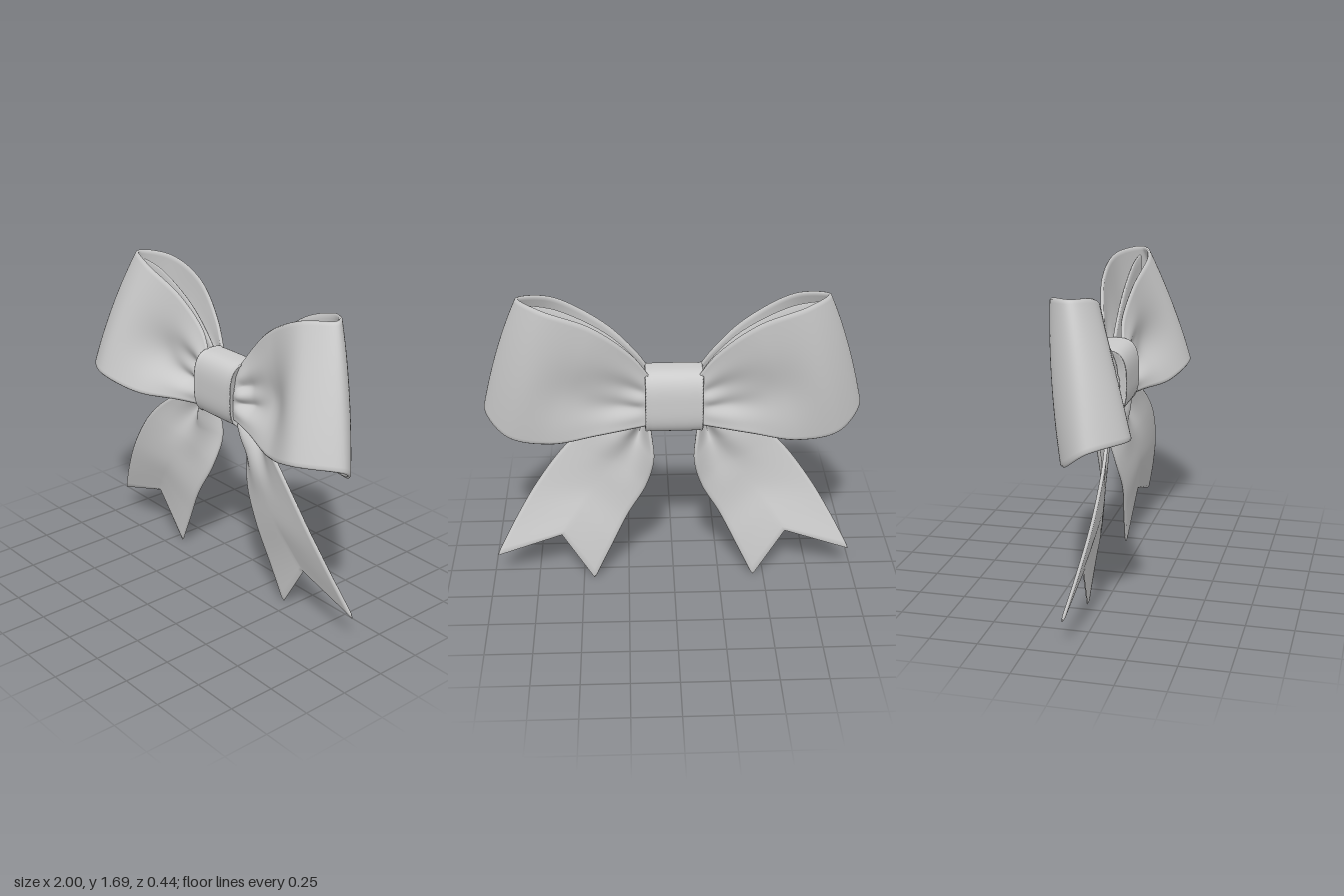
import * as THREE from 'three';
import { mergeVertices } from 'three/addons/utils/BufferGeometryUtils.js';

const material = new THREE.MeshStandardMaterial({ color: 0xcccccc, side: THREE.DoubleSide });
const smooth = THREE.MathUtils.smoothstep;
const lerp = THREE.MathUtils.lerp;
const curve = (pts) => new THREE.CatmullRomCurve3(pts.map((p) => new THREE.Vector3(...p)));
const bump = (x, centre, width) => Math.exp(-(((x - centre) / width) ** 2));

// Turns a surface fn(u, v) into a cloth sheet with thickness and rounded hems
function cloth(name, fn, nu, nv, half, side) {
  const pos = [], idx = [], ring = 2 * (nv + 1) + 2, e = 1e-3;
  for (let i = 0; i <= nu; i++) {
    const u = i / nu, front = [], back = [], hems = [];
    const h = i === 0 || i === nu ? half * 0.2 : half;
    for (let j = 0; j <= nv; j++) {
      const v = j / nv, p = fn(u, v);
      const u0 = Math.max(u - e, 0), u1 = Math.min(u + e, 1);
      const v0 = Math.max(v - e, 0), v1 = Math.min(v + e, 1);
      const du = fn(u1, v).sub(fn(u0, v)), dv = fn(u, v1).sub(fn(u, v0)).normalize();
      const n = du.normalize().cross(dv).normalize();
      front.push(p.clone().addScaledVector(n, h));
      back.unshift(p.clone().addScaledVector(n, -h));
      if (j === 0 || j === nv) hems.push(p.clone().addScaledVector(dv, j ? h : -h));
    }
    for (const p of [...front, hems[1], ...back, hems[0]]) pos.push(p.x * side, p.y, p.z);
  }
  for (let i = 0; i < nu; i++) {
    for (let j = 0; j < ring; j++) {
      const k = (j + 1) % ring;
      const a = i * ring + j, b = a + ring, c = (i + 1) * ring + k, d = i * ring + k;
      if (side > 0) idx.push(a, b, c, a, c, d);
      else idx.push(a, c, b, a, d, c);
    }
  }
  const g = new THREE.BufferGeometry();
  g.setAttribute('position', new THREE.Float32BufferAttribute(pos, 3));
  g.setIndex(idx);
  g.computeVertexNormals();
  const mesh = new THREE.Mesh(g, material);
  mesh.name = name;
  return mesh;
}

// Loop: three guide curves run from the knot's front, round the tip, to its back
const loopTop = curve([
  [0.12, 1.26, -0.03], [0.2, 1.38, -0.05], [0.36, 1.53, -0.03], [0.62, 1.66, 0.0], [0.78, 1.685, -0.07],
  [0.66, 1.665, -0.19], [0.42, 1.58, -0.21], [0.22, 1.41, -0.17], [0.12, 1.26, -0.13]]);
const loopMiddle = curve([
  [0.12, 1.13, 0.0], [0.27, 1.16, 0.02], [0.48, 1.24, 0.05], [0.73, 1.35, 0.115], [0.895, 1.38, 0.0],
  [0.78, 1.31, -0.15], [0.55, 1.24, -0.185], [0.3, 1.17, -0.15], [0.12, 1.13, -0.13]]);
const loopBottom = curve([
  [0.12, 1.0, 0.0], [0.3, 0.99, 0.05], [0.55, 0.98, 0.14], [0.8, 1.04, 0.205], [0.99, 1.03, 0.06],
  [0.88, 0.92, -0.08], [0.65, 0.9, -0.14], [0.4, 0.95, -0.15], [0.12, 1.0, -0.13]]);

function loopPoint(s, v) {
  const a = loopBottom.getPoint(s), b = loopMiddle.getPoint(s), c = loopTop.getPoint(s);
  const p = a.multiplyScalar(2 * (v - 0.5) * (v - 1))
    .addScaledVector(b, 4 * v * (1 - v))
    .addScaledVector(c, 2 * v * (v - 0.5));
  // Hollow and gathers beside the knot, weaker on the back wall
  const d = Math.min(s, 1 - s), sign = s < 0.5 ? 1 : -0.5;
  const hollow = 0.06 * bump(v, 0.45, 0.24) * smooth(d, 0, 0.12) * (1 - smooth(d, 0.21, 0.35));
  const gathers = 0.022 * Math.cos((v - 0.5) * Math.PI * 6) * bump(v, 0.5, 0.3)
    * smooth(d, 0, 0.05) * (1 - smooth(d, 0.06, 0.24));
  p.z += sign * (gathers - hollow);
  return p;
}

// Fold of cloth inside the loop
function innerPoint(u, v) {
  const p = loopTop.getPoint(u * 0.5);
  return new THREE.Vector3(p.x * 0.95, lerp(1.12 + 0.2 * u, p.y - 0.04, v), -0.09 + 0.015 * u);
}

// Tail: inner and outer edges, ending in a swallowtail notch
const tailInner = curve([
  [0.14, 1.02, -0.08], [0.12, 0.9, -0.11], [0.112, 0.78, -0.115], [0.155, 0.6, -0.08],
  [0.255, 0.41, -0.06], [0.35, 0.21, -0.075], [0.445, 0.005, -0.09]]);
const tailOuter = curve([
  [0.14, 1.1, -0.03], [0.3, 1.0, -0.01], [0.42, 0.93, 0.015], [0.57, 0.79, 0.03],
  [0.73, 0.575, 0.015], [0.86, 0.36, -0.025], [0.97, 0.155, -0.075]]);
const notch = new THREE.Vector3(0.615, 0.275, -0.065);
const notchAt = 0.4;

function tailPoint(t, w) {
  const p = tailInner.getPoint(t).lerp(tailOuter.getPoint(t), w);
  const a = tailInner.getPoint(1), b = tailOuter.getPoint(1);
  const end = w < notchAt
    ? a.clone().lerp(notch, w / notchAt)
    : notch.clone().lerp(b, (w - notchAt) / (1 - notchAt));
  p.addScaledVector(end.sub(a.lerp(b, w)), t ** 2.5);
  // Folds spreading from the knot
  const fade = smooth(t, 0, 0.12) * (1 - smooth(t, 0.15, 0.6));
  p.z += fade * (0.075 * bump(w, 0.28, 0.16) - 0.03 * bump(w, 0.58, 0.14));
  p.z += 0.012 * Math.sin(w * Math.PI) * smooth(t, 0.3, 0.7) * (1 - smooth(t, 0.7, 1));
  return p;
}

// Knot: a band round the x axis with softly squared section and raised hems
function knot() {
  const half = [[1.0, 0.143], [0.975, 0.132], [0.985, 0.115], [0.99, 0.06]];
  const rim = [[0.55, 0.12], [0.9, 0.138], [0.97, 0.15]];
  const right = [...rim, ...half];
  const profile = [...right.map(([r, y]) => [r, -y]), [0.99, 0], ...right.reverse()];
  const g = new THREE.LatheGeometry(profile.map(([r, y]) => new THREE.Vector2(r, y)), 64);
  g.rotateZ(-Math.PI / 2);
  const q = g.attributes.position;
  for (let i = 0; i < q.count; i++) {
    const y = q.getY(i), z = q.getZ(i), r = Math.hypot(y, z);
    const k = r / Math.pow(Math.abs(y / r) ** 3 + Math.abs(z / r) ** 3, 1 / 3) / r;
    q.setXYZ(i, q.getX(i), 1.125 + 0.178 * y * k, -0.07 + 0.122 * z * k);
  }
  g.deleteAttribute('uv');
  g.deleteAttribute('normal');
  const merged = mergeVertices(g, 1e-5);
  merged.computeVertexNormals();
  const mesh = new THREE.Mesh(merged, material);
  mesh.name = 'knot';
  return mesh;
}

export function createModel() {
  const bow = new THREE.Group();
  bow.name = 'ribbonBow';
  bow.add(knot());
  for (const [label, side] of [['left', 1], ['right', -1]]) {
    bow.add(cloth(label + 'Loop', loopPoint, 96, 40, 0.009, side));
    bow.add(cloth(label + 'InnerFold', innerPoint, 24, 8, 0.008, side));
    bow.add(cloth(label + 'Tail', tailPoint, 60, 30, 0.009, side));
  }
  return bow;
}
